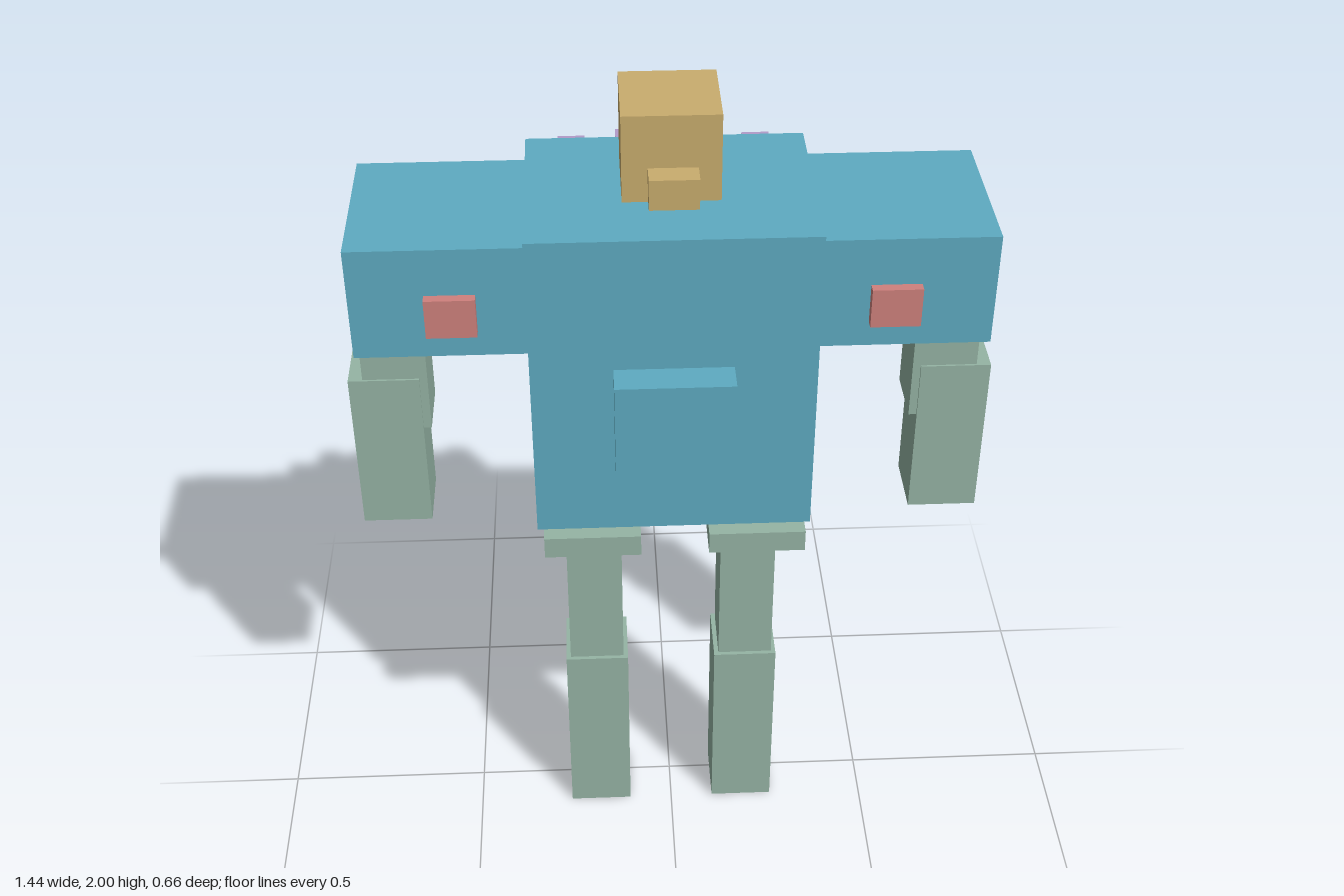
import * as THREE from 'three';

const mat = (name, color) => {
  const m = new THREE.MeshStandardMaterial({ color });
  m.name = name;
  return m;
};

export function createModel() {
  const blue = mat('blue', 0x5eabc1);
  const green = mat('sageGreen', 0x95b4a4);
  const tan = mat('tan', 0xc9ad6e);
  const red = mat('red', 0xcf817d);
  const purple = mat('lilac', 0xb19bc8);

  const model = new THREE.Group();
  model.name = 'blockFigure';

  // Box given by its extents along each axis
  const box = (name, material, [x0, x1], [y0, y1], [z0, z1]) => {
    const mesh = new THREE.Mesh(new THREE.BoxGeometry(x1 - x0, y1 - y0, z1 - z0), material);
    mesh.position.set((x0 + x1) / 2, (y0 + y1) / 2, (z0 + z1) / 2);
    mesh.name = name;
    model.add(mesh);
  };
  // The same box on the left (+x) and right (-x)
  const pair = (name, material, [x0, x1], y, z) => {
    box(name + 'Left', material, [x0, x1], y, z);
    box(name + 'Right', material, [-x1, -x0], y, z);
  };

  // Head with a nose block floating in front
  box('head', tan, [-0.105, 0.103], [1.805, 2], [-0.08, 0.13]);
  box('nose', tan, [-0.053, 0.05], [1.855, 1.922], [0.204, 0.257]);

  // Torso, chest pouch and waist
  box('torso', blue, [-0.31, 0.308], [1.043, 1.785], [-0.204, 0.256]);
  box('chestPouch', blue, [-0.131, 0.128], [1.232, 1.472], [0.2, 0.33]);
  box('waist', blue, [-0.27, 0.27], [0.993, 1.05], [-0.127, 0.18]);

  // Sleeves with badges
  pair('sleeve', blue, [0.3, 0.682], [1.493, 1.752], [-0.168, 0.216]);
  pair('badge', red, [0.415, 0.523], [1.552, 1.643], [0.2, 0.239]);

  // Arms
  pair('upperArm', green, [0.543, 0.687], [1.222, 1.608], [-0.044, 0.098]);
  pair('forearm', green, [0.561, 0.719], [0.962, 1.356], [-0.052, 0.103]);

  // Hip plates and legs
  pair('hipPlate', green, [0.077, 0.295], [0.99, 1.043], [-0.077, 0.292]);
  pair('thigh', green, [0.119, 0.251], [0.49, 1.0], [-0.042, 0.096]);
  pair('shin', green, [0.108, 0.262], [0, 0.502], [-0.05, 0.106]);

  // Backpack with side straps, top clips and bottom clips
  box('backpack', blue, [-0.188, 0.185], [1.324, 1.68], [-0.315, -0.19]);
  pair('packStrap', purple, [0.179, 0.24], [1.413, 1.743], [-0.296, -0.254]);
  box('topClipRight', purple, [-0.11, -0.052], [1.69, 1.768], [-0.275, -0.218]);
  box('topClipLeft', purple, [-0.031, 0.026], [1.69, 1.768], [-0.275, -0.218]);
  box('bottomClipRight', purple, [-0.063, -0.002], [1.223, 1.303], [-0.333, -0.27]);
  box('bottomClipLeft', purple, [-0.002, 0.058], [1.223, 1.303], [-0.333, -0.27]);

  return model;
}
